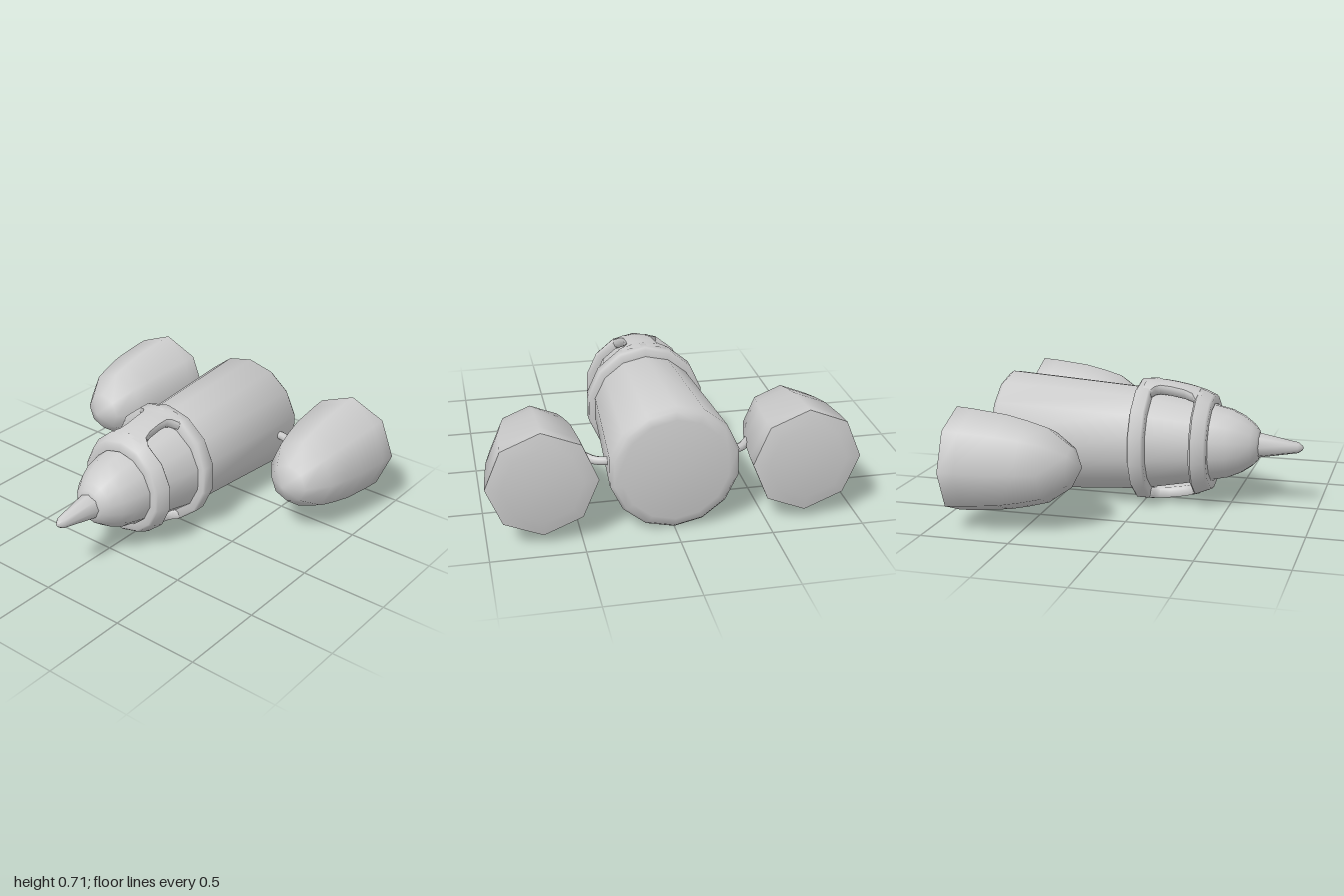
import * as THREE from 'three';
import { toCreasedNormals } from 'three/addons/utils/BufferGeometryUtils.js';

const AXIS_Y = 0.358;
const material = new THREE.MeshStandardMaterial({ color: 0xcccccc });

function add(parent, name, geometry) {
  const mesh = new THREE.Mesh(geometry, material);
  mesh.name = name;
  parent.add(mesh);
  return mesh;
}

// Turned part along z; profile is [z, radius] from back to front.
function turned(profile, sides, crease = 0.9) {
  const geometry = new THREE.LatheGeometry(profile.map(([z, r]) => new THREE.Vector2(r, z)), sides);
  return toCreasedNormals(geometry.rotateX(Math.PI / 2), crease);
}

// Outer radius of the cage at a given z.
const cageRadius = (z) => z > 0.05 ? 0.352 - 0.045 * (z - 0.05) - 0.45 * (z - 0.05) ** 2 : 0.355;

// Ring with rounded edges, following the cage surface.
function cageRing(z0, z1, thickness) {
  const b = 0.012, r0 = cageRadius(z0), r1 = cageRadius(z1);
  return turned([
    [z0, r0 - thickness], [z0, r0 - b], [z0 + b, r0], [z1 - b, r1],
    [z1, r1 - b], [z1, r1 - thickness], [z0, r0 - thickness],
  ], 14);
}

// Strut joining the rings, wider where it meets them.
function cageStrut() {
  const stations = [[0.0, 0.19], [0.05, 0.17], [0.065, 0.125], [0.09, 0.1], [0.15, 0.095],
    [0.23, 0.095], [0.28, 0.11], [0.3, 0.15], [0.33, 0.18]];
  // Cross-section as [fraction of half width, depth below the outer surface].
  const section = [[-0.9, 0], [-0.45, 0], [0, 0], [0.45, 0], [0.9, 0], [1, 0.015],
    [1, 0.045], [0.85, 0.06], [0, 0.06], [-0.85, 0.06], [-1, 0.045], [-1, 0.015]];
  const positions = [], index = [], n = section.length;
  stations.forEach(([z, w], i) => {
    section.forEach(([f, depth], j) => {
      const r = cageRadius(z) - depth - 0.002, a = f * w / cageRadius(z);
      positions.push(r * Math.sin(a), r * Math.cos(a), z);
      if (i === 0) return;
      const k = (j + 1) % n, p = (i - 1) * n, q = i * n;
      index.push(p + j, q + j, p + k, p + k, q + j, q + k);
    });
  });
  const geometry = new THREE.BufferGeometry();
  geometry.setAttribute('position', new THREE.Float32BufferAttribute(positions, 3));
  geometry.setIndex(index);
  return toCreasedNormals(geometry, 0.9);
}

export function createModel() {
  const model = new THREE.Group();
  model.name = 'rocketCraft';
  const craft = new THREE.Group();
  craft.name = 'craft';
  craft.position.y = AXIS_Y;
  model.add(craft);

  // Hull, widest at the back, with a blunt front end
  add(craft, 'hull', turned([
    [-0.87, 0], [-0.867, 0.29], [-0.855, 0.335], [-0.83, 0.355], [-0.04, 0.303],
    [0.05, 0.29], [0.3, 0.242], [0.4, 0.22], [0.49, 0.2], [0.56, 0.168],
    [0.62, 0.125], [0.65, 0.092], [0.66, 0.07], [0.66, 0],
  ], 14));

  // Nose spike
  add(craft, 'noseSpike', turned([
    [0.64, 0], [0.645, 0.077], [0.66, 0.073], [0.88, 0.032], [0.905, 0.012], [0.91, 0],
  ], 8));

  // Cage of two rings and two struts, slightly narrow in x
  const cage = new THREE.Group();
  cage.name = 'cage';
  cage.scale.x = 0.955;
  craft.add(cage);
  add(cage, 'backRing', cageRing(-0.04, 0.05, 0.07));
  add(cage, 'frontRing', cageRing(0.3, 0.395, 0.055));
  const strut = cageStrut();
  add(cage, 'topStrut', strut);
  add(cage, 'bottomStrut', strut).rotation.z = Math.PI;

  // Side pods on curved arms
  const podGeometry = turned([
    [-0.912, 0], [-0.91, 0.215], [-0.89, 0.295], [-0.8, 0.289], [-0.6, 0.267],
    [-0.48, 0.24], [-0.37, 0.209], [-0.24, 0.115], [-0.18, 0],
  ], 8, 1.1);
  for (const [side, s] of [['left', 1], ['right', -1]]) {
    add(craft, side + 'Pod', podGeometry).position.x = s * 0.705;
    const path = new THREE.CatmullRomCurve3([
      [0.3, -0.69], [0.36, -0.685], [0.405, -0.665], [0.44, -0.625], [0.48, -0.56],
    ].map(([x, z]) => new THREE.Vector3(s * x, 0, z)));
    add(craft, side + 'Arm', new THREE.TubeGeometry(path, 12, 0.024, 8));
  }
  return model;
}
